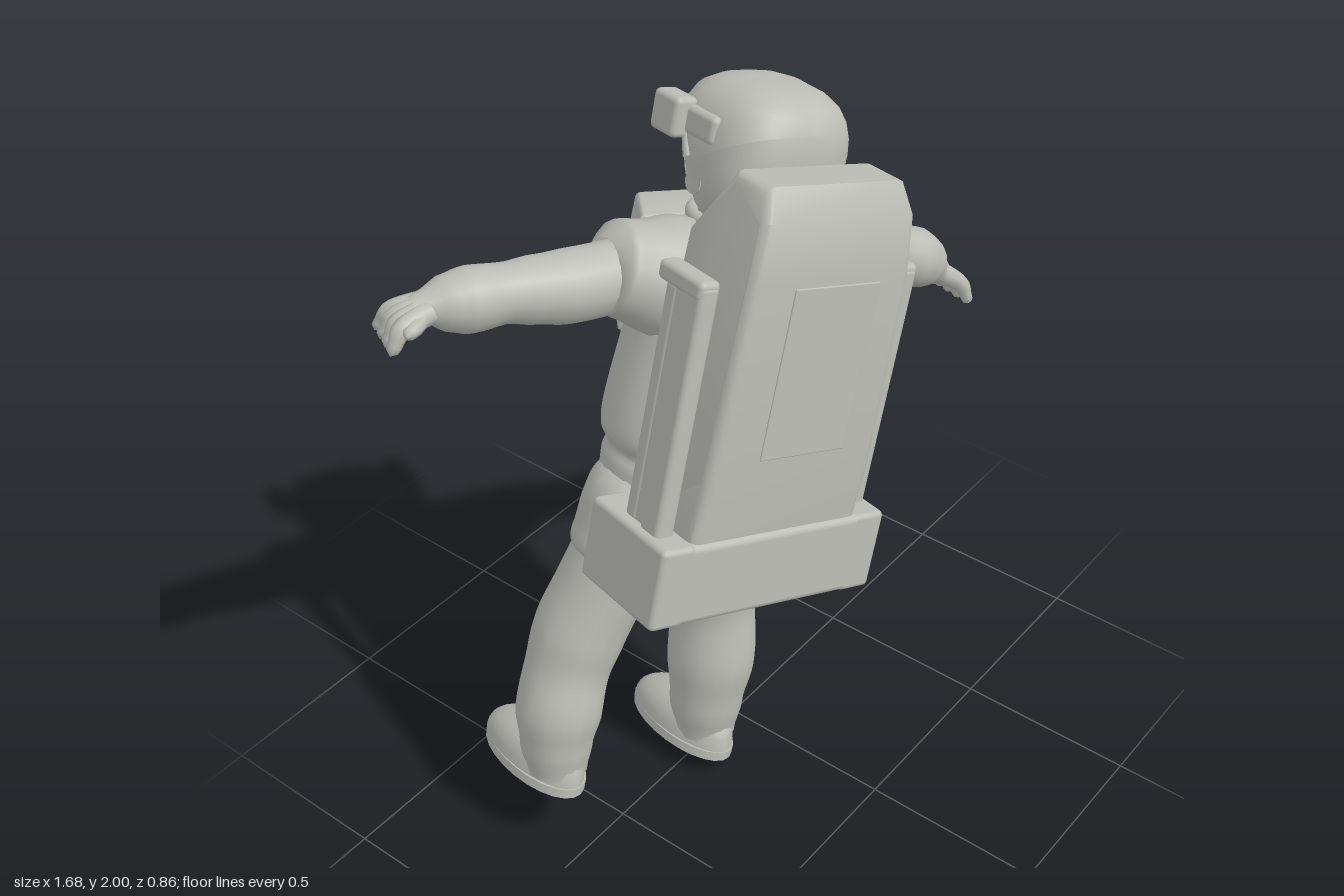
import * as THREE from 'three';
import { mergeVertices, toCreasedNormals } from 'three/addons/utils/BufferGeometryUtils.js';
import { RoundedBoxGeometry } from 'three/addons/geometries/RoundedBoxGeometry.js';

const V = (x, y, z) => new THREE.Vector3(x, y, z);

export function createModel() {
  const suit = new THREE.MeshStandardMaterial({ color: 0xbcbcb6, side: THREE.DoubleSide });
  suit.name = 'suitGrey';
  const glass = new THREE.MeshStandardMaterial({ color: 0xf0f0ee });
  glass.name = 'visorPale';

  const model = new THREE.Group();
  model.name = 'astronaut';

  // Leaning, turned body frame: local x = across, y = spine, z = towards the back
  const ex = V(0.92, -0.28, 0.28).normalize();
  const ez = ex.clone().cross(V(0.285, 0.958, 0)).normalize();
  const basis = new THREE.Matrix4().makeBasis(ex, ez.clone().cross(ex), ez);
  const frame = (name, x, y, z) => {
    const g = new THREE.Group();
    g.name = name;
    g.quaternion.setFromRotationMatrix(basis);
    g.position.set(x, y, z);
    model.add(g);
    return g;
  };
  const body = frame('body', -0.106, 1.05, 0);

  const add = (parent, name, geo, mat = suit, pos = [0, 0, 0]) => {
    const m = new THREE.Mesh(geo, mat);
    m.name = name;
    m.position.set(...pos);
    parent.add(m);
    return m;
  };
  const box = (parent, name, size, pos, r = 0.015) =>
    add(parent, name, new RoundedBoxGeometry(...size, 2, r), suit, pos);

  // Round limb along a smooth path; each row is x, y, z, radius
  function limb(parent, name, rows, steps = 28, sides = 16) {
    const curve = new THREE.CatmullRomCurve3(rows.map(r => V(r[0], r[1], r[2])));
    let geo = new THREE.TubeGeometry(curve, steps, 1, sides);
    const p = geo.attributes.position, v = V(0, 0, 0);
    for (let i = 0; i <= steps; i++) {
      const c = curve.getPointAt(i / steps);
      const t = curve.getUtoTmapping(i / steps) * (rows.length - 1);
      const k = Math.min(Math.floor(t), rows.length - 2);
      const r = THREE.MathUtils.lerp(rows[k][3], rows[k + 1][3], THREE.MathUtils.smoothstep(t - k, 0, 1));
      for (let j = 0; j <= sides; j++) {
        const n = i * (sides + 1) + j;
        v.fromBufferAttribute(p, n).sub(c).multiplyScalar(r).add(c);
        p.setXYZ(n, v.x, v.y, v.z);
      }
    }
    geo.deleteAttribute('uv');
    geo.deleteAttribute('normal');
    geo = mergeVertices(geo, 1e-5);
    geo.computeVertexNormals();
    return add(parent, name, geo);
  }

  // Torso with a belt crease
  const profile = new THREE.SplineCurve([[0.001, -0.225], [0.18, -0.215], [0.255, -0.14], [0.27, -0.04], [0.262, 0.005],
    [0.285, 0.045], [0.285, 0.13], [0.268, 0.3], [0.258, 0.43], [0.22, 0.53], [0.145, 0.605]].map(a => new THREE.Vector2(...a)));
  const torso = new THREE.LatheGeometry(profile.getPoints(40), 32);
  torso.scale(1, 1, 0.79);
  add(body, 'torso', torso, suit, [0, 0, -0.035]);
  for (const s of [-1, 1])
    limb(body, 'shoulderSleeve', [[s * 0.06, 0.45, -0.03, 0.16], [s * 0.2, 0.465, -0.045, 0.152],
      [s * 0.32, 0.487, -0.06, 0.122], [s * 0.37, 0.496, -0.068, 0.112], [s * 0.376, 0.496, -0.068, 0.07]], 20);

  // Helmet: neck ring, visor ball, boxy hood opening forward, lamps
  const ring = new THREE.TorusGeometry(0.137, 0.016, 10, 32).rotateX(Math.PI / 2);
  add(body, 'neckRing', ring, suit, [0, 0.61, -0.025]);
  add(body, 'visor', new THREE.SphereGeometry(0.168, 32, 24), glass, [-0.005, 0.76, -0.035]);
  const hood = new THREE.SphereGeometry(1, 24, 14, 0, Math.PI * 2, 0, 1.83).rotateX(1.05);
  const hp = hood.attributes.position;
  for (let i = 0; i < hp.count; i++) {
    const a = [hp.getX(i), hp.getY(i), hp.getZ(i)];
    const k = 0.187 / Math.cbrt(a.reduce((sum, c) => sum + Math.abs(c) ** 3, 0));
    hp.setXYZ(i, a[0] * k, a[1] * k, a[2] * k);
  }
  hood.computeVertexNormals();
  add(body, 'hood', hood, suit, [-0.015, 0.783, -0.008]);
  const brim = new THREE.TorusGeometry(0.186, 0.013, 8, 24, Math.PI).rotateX(-0.55);
  add(body, 'brim', brim, suit, [-0.012, 0.77, -0.045]);
  for (const s of [-1, 1]) {
    box(body, 'headLamp', [0.065, 0.1, 0.1], [s * 0.19 - 0.018, 0.855, -0.115]);
    box(body, 'lampBracket', [0.04, 0.07, 0.12], [s * 0.175 - 0.012, 0.855, -0.02]);
    const pivot = new THREE.CylinderGeometry(0.03, 0.03, 0.03, 16).rotateZ(Math.PI / 2);
    add(body, 'visorPivot', pivot, suit, [s * 0.175 - 0.01, 0.72, -0.01]);
  }

  // Chest unit, one side slanting in towards the front, with small switches on top
  const chestBox = new RoundedBoxGeometry(0.255, 0.32, 0.15, 2, 0.015);
  const cp = chestBox.attributes.position;
  for (let i = 0; i < cp.count; i++)
    if (cp.getX(i) < 0) cp.setX(i, cp.getX(i) + (cp.getZ(i) < 0 ? 0.04 : -0.03));
  const chest = add(body, 'chestUnit', toCreasedNormals(chestBox, 0.6), suit, [-0.045, 0.42, -0.25]);
  chest.rotation.x = 0.06;
  for (let i = 0; i < 4; i++) box(body, 'chestSwitch', [0.02, 0.014, 0.02], [0.055, 0.58, -0.21 - i * 0.026], 0.004);

  // Backpack shell: side profile extruded across, narrowing to the top
  const side = new THREE.Shape([[0.09, -0.1], [0.315, -0.1], [0.33, 0.1], [0.333, 0.6], [0.322, 0.74], [0.29, 0.795],
    [0.2, 0.795], [0.11, 0.64]].map(a => new THREE.Vector2(...a)));
  const shell = new THREE.ExtrudeGeometry(side, { depth: 0.475, bevelSize: 0.025, bevelThickness: 0.025, bevelSegments: 3 });
  shell.translate(0, 0, -0.2375).rotateY(-Math.PI / 2);
  const sp = shell.attributes.position;
  for (let i = 0; i < sp.count; i++) {
    const y = sp.getY(i);
    sp.setX(i, sp.getX(i) * (1 - 0.13 * Math.max(0, y) - 0.8 * Math.max(0, y - 0.7)));
  }
  add(body, 'backpack', toCreasedNormals(shell, 0.6), suit, [-0.03, 0, 0]);
  const hatch = box(body, 'backpackHatch', [0.26, 0.44, 0.008], [-0.015, 0.37, 0.3565], 0.003);
  hatch.rotation.x = 0.006;

  // Backpack base, forward side blocks and control arms
  box(body, 'packBase', [0.7, 0.22, 0.17], [-0.03, -0.17, 0.27], 0.02);
  for (const s of [-1, 1]) {
    const x = s * 0.305 - 0.025;
    box(body, 'baseSide', [0.1, 0.22, 0.31], [s * 0.3 - 0.03, -0.17, 0.2]);
    box(body, 'armRailBack', [0.055, 0.66, 0.075], [x, 0.25, 0.25]);
    box(body, 'armRailFront', [0.04, 0.62, 0.05], [x, 0.24, 0.165]);
    box(body, 'armWeb', [0.035, 0.62, 0.1], [x, 0.24, 0.2], 0.005);
    box(body, 'armRailHead', [0.06, 0.05, 0.17], [x, 0.565, 0.2]);
  }

  // Arms
  limb(model, 'leftArm', [[0.30, 1.475, 0.025, 0.09], [0.42, 1.42, 0.05, 0.095], [0.50, 1.37, 0.075, 0.086],
    [0.56, 1.335, 0.09, 0.075], [0.64, 1.29, 0.11, 0.083], [0.69, 1.25, 0.125, 0.07], [0.715, 1.225, 0.135, 0.045],
    [0.74, 1.2, 0.14, 0.035]]);
  limb(model, 'rightArm', [[-0.24, 1.585, -0.15, 0.09], [-0.38, 1.603, -0.2, 0.091], [-0.46, 1.62, -0.235, 0.083],
    [-0.53, 1.635, -0.265, 0.073], [-0.61, 1.645, -0.3, 0.08], [-0.67, 1.655, -0.325, 0.066], [-0.7, 1.66, -0.335, 0.045],
    [-0.74, 1.66, -0.35, 0.035]]);

  // Hands: four fingers that run together into a palm, plus a thumb
  function hand(name, wrist, knuckle, tip, spread) {
    const g = new THREE.Group();
    g.name = name;
    model.add(g);
    const row = (p, off, r) => [...p.clone().addScaledVector(spread, off).toArray(), r];
    for (const o of [-1.5, -0.5, 0.5, 1.5])
      limb(g, 'finger', [row(wrist, o * 0.014, 0.03), row(knuckle, o * 0.028, 0.024),
        row(knuckle.clone().lerp(tip, 0.6), o * 0.035, 0.017), row(tip, o * 0.038, 0.013), row(tip, o * 0.039, 0.001)], 12, 8);
    limb(g, 'thumb', [row(wrist, -0.01, 0.025), row(wrist.clone().lerp(knuckle, 0.6), -0.055, 0.02),
      row(knuckle, -0.075, 0.014), row(knuckle, -0.08, 0.001)], 10, 8);
  }
  hand('leftHand', V(0.72, 1.22, 0.135), V(0.785, 1.165, 0.15), V(0.808, 1.1, 0.155), V(-0.25, 0, 0.97));
  hand('rightHand', V(-0.71, 1.662, -0.335), V(-0.78, 1.655, -0.36), V(-0.815, 1.605, -0.375), V(0.45, 0, -0.89));

  // Shorts and legs
  limb(model, 'leftThighCover', [[-0.055, 1.0, -0.03, 0.13], [-0.05, 0.91, -0.03, 0.162], [-0.06, 0.82, -0.03, 0.148],
    [-0.065, 0.79, -0.03, 0.138], [-0.066, 0.788, -0.03, 0.1]]);
  limb(model, 'rightThighCover', [[-0.22, 1.02, -0.04, 0.13], [-0.28, 0.94, -0.07, 0.164], [-0.34, 0.84, -0.09, 0.147],
    [-0.357, 0.805, -0.095, 0.136], [-0.358, 0.803, -0.095, 0.1]]);
  limb(model, 'leftLeg', [[-0.065, 0.83, -0.035, 0.125], [-0.07, 0.7, -0.03, 0.125], [-0.08, 0.58, -0.015, 0.127],
    [-0.09, 0.48, -0.005, 0.118], [-0.115, 0.34, 0.01, 0.123], [-0.145, 0.2, 0.015, 0.104], [-0.16, 0.09, 0.02, 0.085]]);
  limb(model, 'rightLeg', [[-0.34, 0.86, -0.09, 0.12], [-0.41, 0.72, -0.12, 0.122], [-0.475, 0.6, -0.145, 0.124],
    [-0.525, 0.5, -0.15, 0.115], [-0.575, 0.4, -0.14, 0.117], [-0.605, 0.3, -0.13, 0.098], [-0.62, 0.22, -0.12, 0.082]]);

  // Boots: flat-bottomed full uppers, taller at the heel, on a thin sole
  function boot(name, x, y, z) {
    const g = frame(name, x, y, z);
    const upper = new THREE.SphereGeometry(1, 24, 16);
    const p = upper.attributes.position;
    for (let i = 0; i < p.count; i++) {
      const zz = p.getZ(i), h = 0.115 + 0.035 * zz;
      p.setXYZ(i, p.getX(i) * (0.098 - 0.008 * zz), 0.015 + Math.max(0, p.getY(i)) ** 0.7 * h, zz * 0.197);
    }
    upper.computeVertexNormals();
    add(g, 'bootUpper', upper);
    const sole = new THREE.CylinderGeometry(1, 1, 0.026, 24);
    add(g, 'bootSole', sole, suit, [0, 0.013, 0]).scale.set(0.1, 1, 0.2);
  }
  boot('leftBoot', -0.155, 0.034, -0.068);
  boot('rightBoot', -0.605, 0.172, -0.22);

  return model;
}
